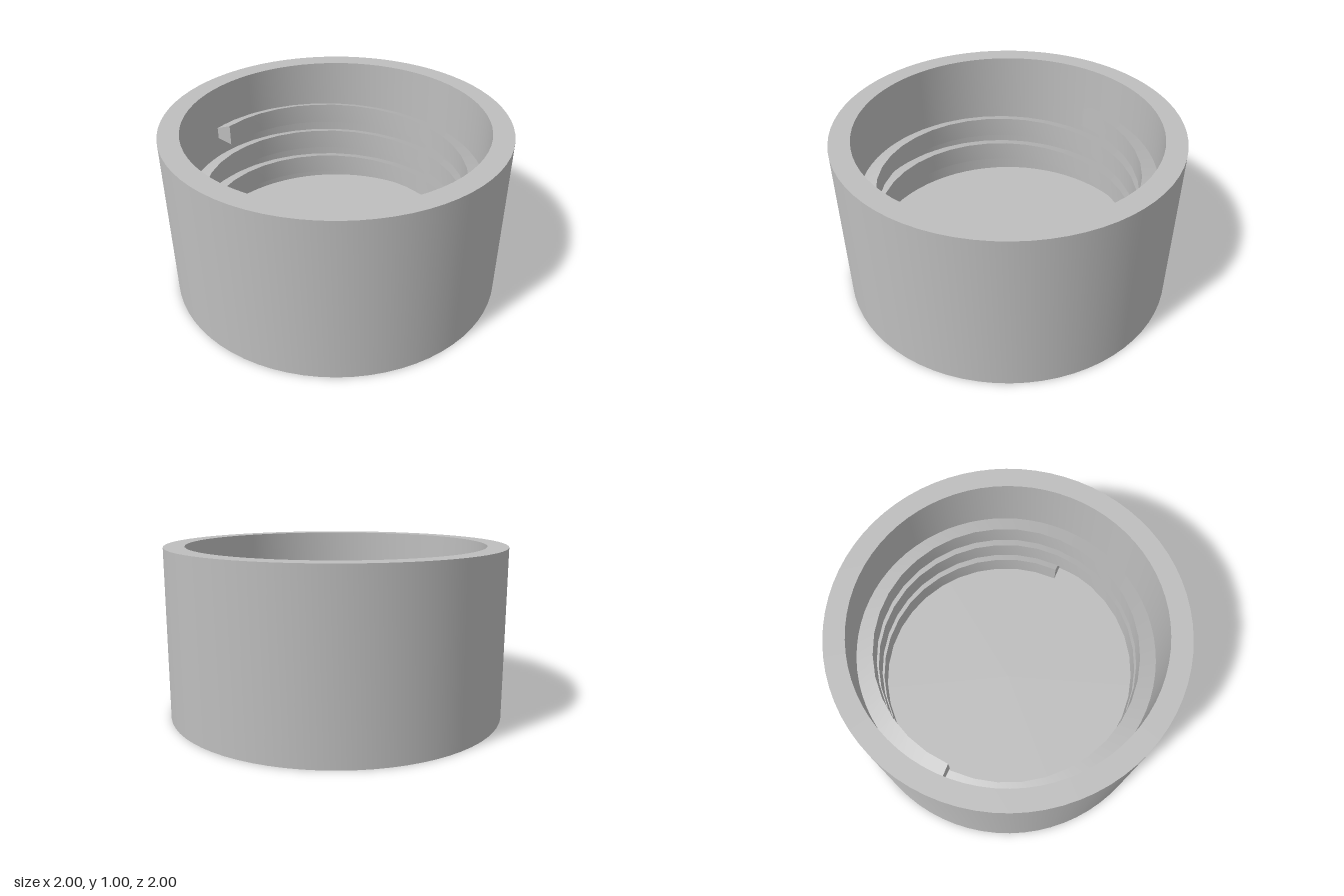
import * as THREE from 'three';
import { toCreasedNormals } from 'three/addons/utils/BufferGeometryUtils.js';

const WALL_RADIUS = 0.88;
const FLOOR = 0.12;

// Sweeps a four-cornered rib section down a right-handed helix
function helicalRib(section, startAngle, turns, pitch, stepsPerTurn) {
  const steps = Math.round(turns * stepsPerTurn);
  const n = section.length;
  const positions = [];
  const index = [];
  for (let i = 0; i <= steps; i++) {
    const turn = i / stepsPerTurn;
    const angle = startAngle + turn * Math.PI * 2;
    for (const [r, y] of section) {
      positions.push(r * Math.cos(angle), y - turn * pitch, r * Math.sin(angle));
    }
  }
  for (let i = 0; i < steps; i++) {
    for (let k = 0; k < n; k++) {
      const a = i * n + k;
      const b = i * n + (k + 1) % n;
      index.push(a, a + n, b, b, a + n, b + n);
    }
  }
  // End caps
  const e = steps * n;
  index.push(0, 1, 2, 0, 2, 3, e, e + 2, e + 1, e, e + 3, e + 2);

  const geometry = new THREE.BufferGeometry();
  geometry.setAttribute('position', new THREE.Float32BufferAttribute(positions, 3));
  geometry.setIndex(index);
  return toCreasedNormals(geometry, Math.PI / 7);
}

export function createModel() {
  const group = new THREE.Group();
  group.name = 'threadedCap';

  const grey = new THREE.MeshStandardMaterial({ color: 0xbebebe });
  grey.name = 'plainGrey';

  // Cup: closed base, outer wall, flat rim, bore and floor
  const profile = [
    [0, 0], [1, 0], [1, 1], [WALL_RADIUS, 1], [WALL_RADIUS, FLOOR], [0, FLOOR],
  ].map(([r, y]) => new THREE.Vector2(r, y));
  const cup = new THREE.Mesh(
    toCreasedNormals(new THREE.LatheGeometry(profile, 72), Math.PI / 6), grey);
  cup.name = 'capBody';
  group.add(cup);

  // Internal thread, slightly sunk into the wall
  const section = [
    [WALL_RADIUS + 0.01, 0.66], [0.78, 0.64], [0.78, 0.77], [WALL_RADIUS + 0.01, 0.73],
  ];
  const thread = new THREE.Mesh(
    helicalRib(section, -Math.PI * 0.75, 2.5, 0.2, 36), grey);
  thread.name = 'internalThread';
  group.add(thread);

  return group;
}
